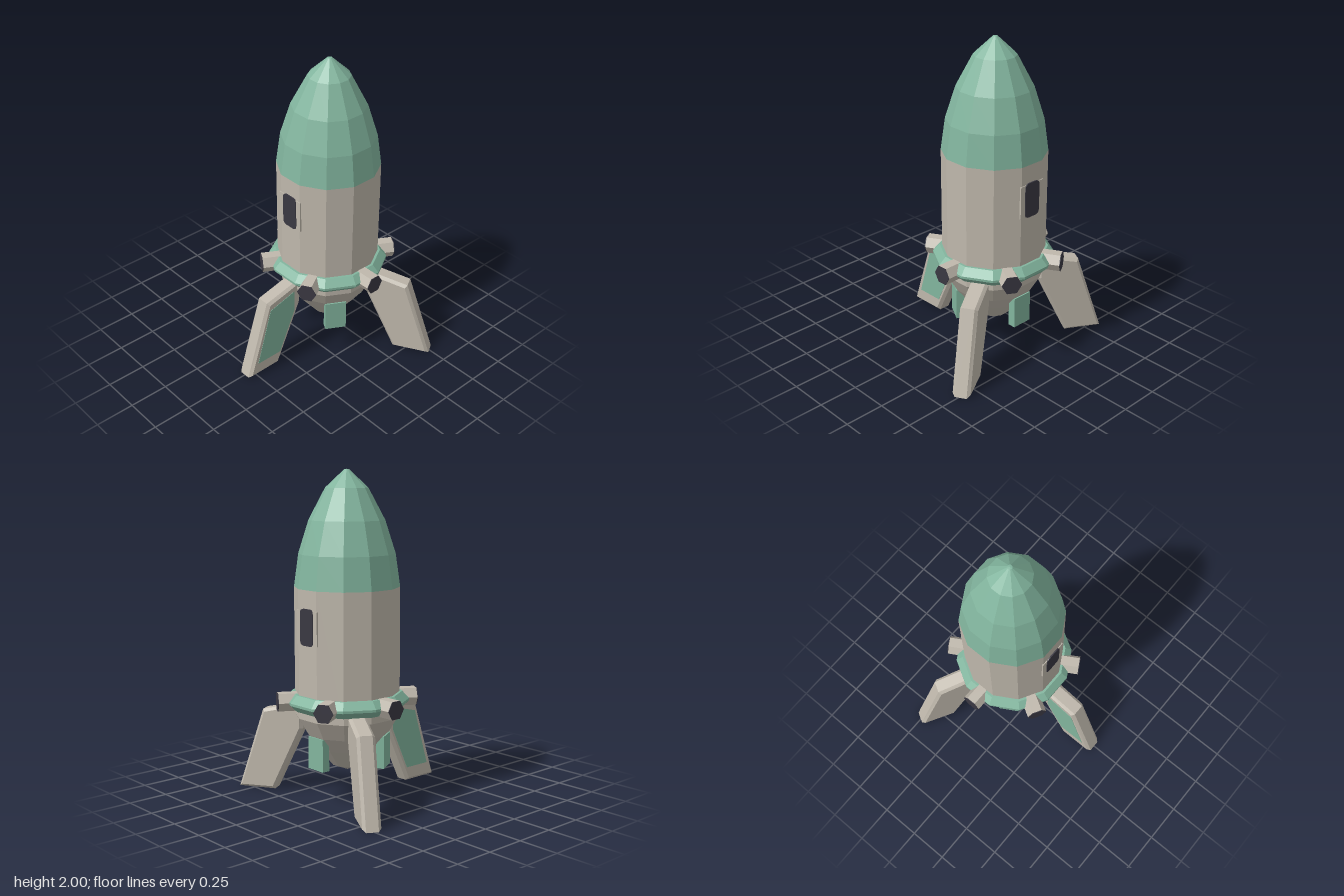
import * as THREE from 'three';

const SIDES = 12;
const K = 1 / Math.cos(Math.PI / SIDES); // flat-to-flat radius -> corner radius

export function createModel() {
  const model = new THREE.Group();
  model.name = 'rocket';
  const rocket = new THREE.Group();
  rocket.name = 'rocketAxis';
  rocket.position.z = -0.155;
  model.add(rocket);

  const mat = (name, color) => {
    const m = new THREE.MeshStandardMaterial({ color });
    m.name = name;
    return m;
  };
  const beige = mat('warm grey', 0xbfb8ac);
  const green = mat('sage green', 0x82b59e);
  const dark = mat('dark glass', 0x3a3842);

  // Faceted mesh
  const add = (name, geometry, material, parent = rocket) => {
    const g = geometry.index ? geometry.toNonIndexed() : geometry;
    g.computeVertexNormals();
    const mesh = new THREE.Mesh(g, material);
    mesh.name = name;
    parent.add(mesh);
    return mesh;
  };
  // Twelve-sided turned part with a flat face to the front
  const turned = (name, profile, material) => {
    const pts = profile.map(([r, y]) => new THREE.Vector2(r * K, y));
    add(name, new THREE.LatheGeometry(pts, SIDES).rotateY(Math.PI / SIDES), material);
  };
  const shapeOf = (pts) => new THREE.Shape(pts.map(([x, y]) => new THREE.Vector2(x, y)));
  const spoke = (name, angle) => {
    const g = new THREE.Group();
    g.name = name;
    g.rotation.y = angle;
    rocket.add(g);
    return g;
  };

  // Hull, nose and ring
  turned('hull', [[0, 0.16], [0.095, 0.2], [0.185, 0.315], [0.248, 0.405], [0.31, 0.515], [0.31, 1.3]], beige);
  turned('noseCone', [[0.31, 1.3], [0.283, 1.5], [0.222, 1.7], [0.125, 1.89], [0.014, 1.998], [0, 2]], green);
  turned('ring', [[0.305, 0.56], [0.325, 0.56], [0.365, 0.6], [0.365, 0.615], [0.325, 0.66], [0.305, 0.66]], green);

  // Six hexagonal thrusters with dark ends
  for (let i = 0; i < 6; i++) {
    const g = spoke('thruster', i * Math.PI / 3);
    const hex = (length, x) =>
      new THREE.CylinderGeometry(0.062, 0.062, length, 6).rotateZ(-Math.PI / 2).translate(x, 0.608, 0);
    add('thrusterBody', hex(0.15, 0.354), beige, g);
    add('thrusterEnd', hex(0.004, 0.431), dark, g);
  }

  // Three bevelled landing legs, the front one with side panels
  const legShape = shapeOf([[0.47, 0], [0.712, 0], [0.545, 0.512], [0.28, 0.572], [0.28, 0.405]]);
  const panelShape = shapeOf([[0.462, 0.09], [0.642, 0.09], [0.53, 0.458], [0.335, 0.51], [0.335, 0.365]]);
  for (let i = 0; i < 3; i++) {
    const g = spoke(i ? 'rearLeg' : 'frontLeg', -Math.PI / 2 + i * 2 * Math.PI / 3);
    add('leg', new THREE.ExtrudeGeometry(legShape, {
      depth: 0.074, bevelThickness: 0.018, bevelSize: 0.018, bevelOffset: -0.018, bevelSegments: 1,
    }).translate(0, 0, -0.037), beige, g);
    if (i) continue;
    for (const z of [-0.057, 0.053]) {
      add('legPanel', new THREE.ExtrudeGeometry(panelShape, { depth: 0.004, bevelEnabled: false })
        .translate(0, 0, z), green, g);
    }
  }

  // Three fins between the legs
  for (let i = 0; i < 3; i++) {
    const g = spoke('fin', Math.PI / 2 + i * 2 * Math.PI / 3);
    add('finPlate', new THREE.BoxGeometry(0.05, 0.2, 0.135).translate(0.23, 0.302, 0), green, g);
  }

  // Front and back windows with rounded corners
  const w = 0.058, b = 0.97, t = 1.19, r = 0.032;
  const pane = new THREE.Shape();
  pane.moveTo(-w + r, b);
  pane.lineTo(w - r, b);
  pane.quadraticCurveTo(w, b, w, b + r);
  pane.lineTo(w, t - r);
  pane.quadraticCurveTo(w, t, w - r, t);
  pane.lineTo(-w + r, t);
  pane.quadraticCurveTo(-w, t, -w, t - r);
  pane.lineTo(-w, b + r);
  pane.quadraticCurveTo(-w, b, -w + r, b);
  for (const angle of [0, Math.PI]) {
    const g = spoke('window', angle);
    add('windowFrame', new THREE.BoxGeometry(0.184, 0.205, 0.012).translate(0, 1.078, 0.309), beige, g);
    add('windowPane', new THREE.ExtrudeGeometry(pane, { depth: 0.008, bevelEnabled: false, curveSegments: 4 })
      .translate(0, 0, 0.311), dark, g);
  }

  return model;
}
